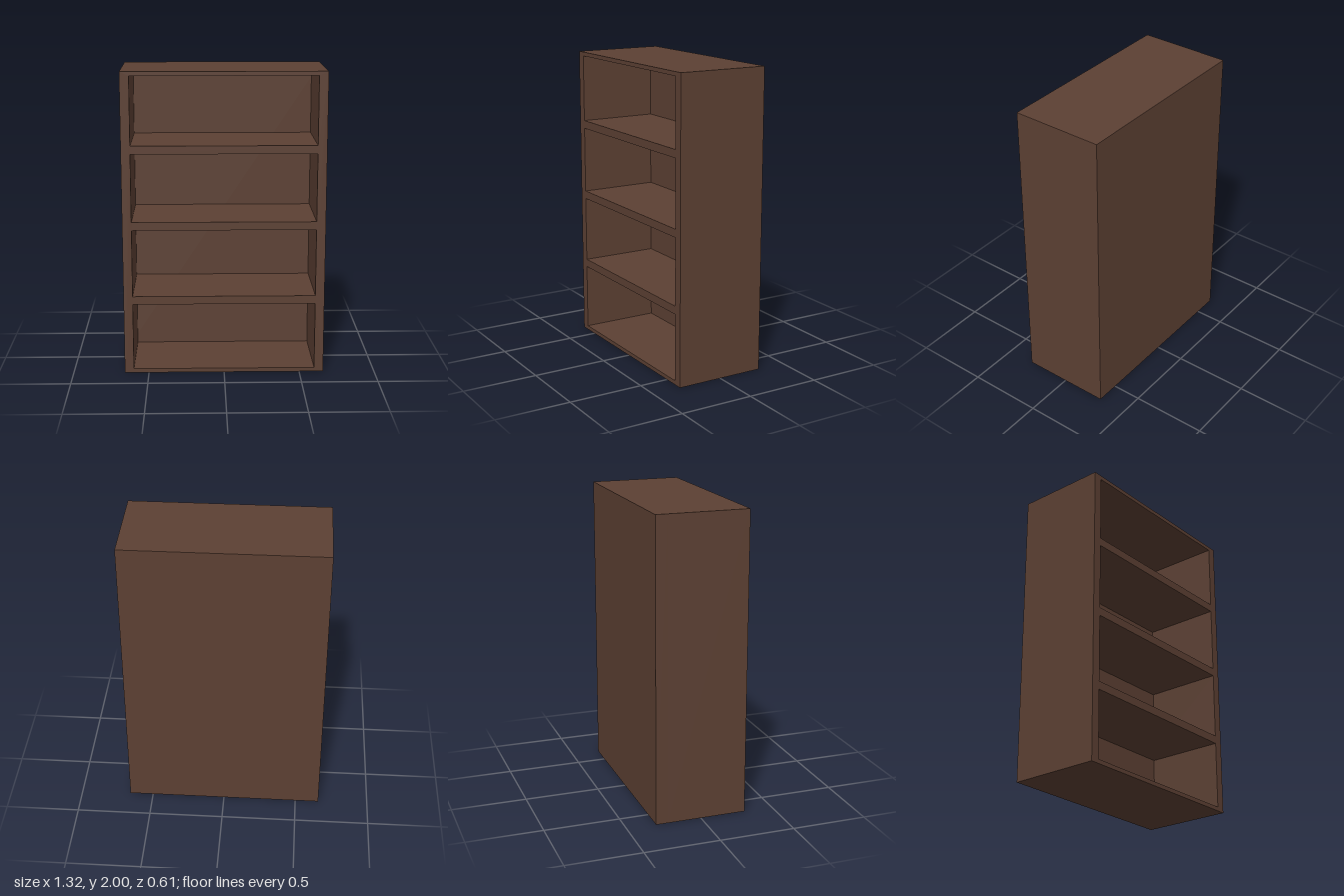
import * as THREE from 'three';

const WIDTH = 1.32, HEIGHT = 2, DEPTH = 0.61;
const BACK = 0.08;                 // back panel thickness
const SIDE = 0.06;                 // side board thickness
const EDGE = 0.027;                // top and bottom board thickness
const BAYS = 4;

// Axis-aligned rectangle traced into a Shape or Path
function rect(path, x0, y0, x1, y1) {
  path.moveTo(x0, y0);
  path.lineTo(x1, y0);
  path.lineTo(x1, y1);
  path.lineTo(x0, y1);
  path.closePath();
  return path;
}

export function createModel() {
  const group = new THREE.Group();
  group.name = 'bookcase';
  const wood = new THREE.MeshStandardMaterial({ color: 0x5c4033 });

  const add = (name, geometry, z) => {
    const mesh = new THREE.Mesh(geometry, wood);
    mesh.name = name;
    mesh.position.z = z;
    group.add(mesh);
  };

  // Sides, top, bottom and shelves: one outline with an opening per bay
  const outline = rect(new THREE.Shape(), -WIDTH / 2, 0, WIDTH / 2, HEIGHT);
  const bay = HEIGHT / BAYS, inner = WIDTH / 2 - SIDE;
  for (let i = 0; i < BAYS; i++) {
    outline.holes.push(
      rect(new THREE.Path(), -inner, i * bay + EDGE, inner, (i + 1) * bay - EDGE));
  }
  add('shelfFrame',
    new THREE.ExtrudeGeometry(outline, { depth: DEPTH - BACK, bevelEnabled: false }),
    -DEPTH / 2 + BACK);

  // Solid panel closing the rear of all bays
  add('backPanel',
    new THREE.BoxGeometry(WIDTH, HEIGHT, BACK).translate(0, HEIGHT / 2, 0),
    -DEPTH / 2 + BACK / 2);

  return group;
}
